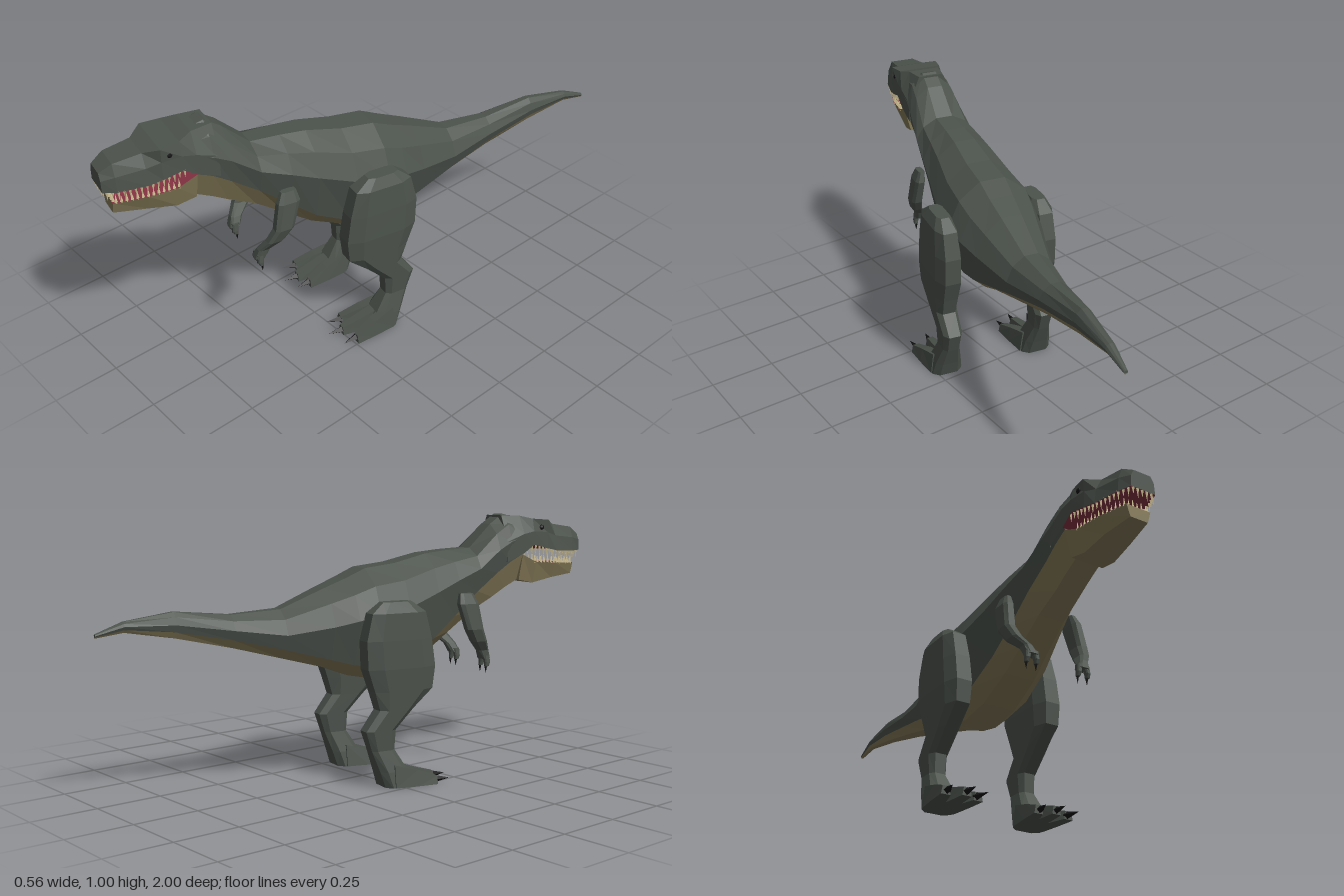
import * as THREE from 'three';

const mat = (color, side = THREE.FrontSide) =>
  new THREE.MeshStandardMaterial({ color, flatShading: true, roughness: 0.9, side });
const hide = mat(0x4c524c, THREE.DoubleSide);
const tan = mat(0x857a58, THREE.DoubleSide);
const flesh = mat(0x8a3444, THREE.DoubleSide);
const ivory = mat(0xe0cfa0);
const black = mat(0x141414);

// Skins a list of equal-length point rings; caps fill the first and last ring.
function loft(rings, { closed = true, caps = closed } = {}) {
  const n = rings[0].length, index = [];
  for (let i = 0; i < rings.length - 1; i++) {
    for (let j = 0; j < (closed ? n : n - 1); j++) {
      const k = (j + 1) % n;
      const a = i * n + j, b = i * n + k, c = a + n, d = b + n;
      index.push(a, b, d, a, d, c);
    }
  }
  if (caps) {
    const last = (rings.length - 1) * n;
    for (let j = 1; j < n - 1; j++) index.push(0, j + 1, j, last, last + j, last + j + 1);
  }
  const g = new THREE.BufferGeometry();
  g.setAttribute('position', new THREE.Float32BufferAttribute(rings.flat(2), 3));
  g.setIndex(index);
  const flat = g.toNonIndexed();
  flat.computeVertexNormals();
  return flat;
}

function add(parent, name, geometry, material) {
  const mesh = new THREE.Mesh(geometry, material);
  mesh.name = name;
  parent.add(mesh);
  return mesh;
}

// Mirrors a half outline (top to bottom, +x side) over the top into an open arch.
const arch = (z, half) => [
  ...half.slice().reverse().map(([x, y]) => [-x, y, z]),
  ...half.map(([x, y]) => [x, y, z]),
];

// Limb built from horizontal chamfered slices: [y, x, z, halfX, halfZ], top to bottom.
const OCT = [[1, -.6], [1, .6], [.6, 1], [-.6, 1], [-1, .6], [-1, -.6], [-.6, -1], [.6, -1]];
const limb = (slices) => loft(slices.map(([y, x, z, hx, hz]) =>
  OCT.map(([u, v]) => [x + u * hx, y, z + v * hz])));

// Torso, neck and tail: [z, top, side y, edge y, bottom, half width, edge half width]
const BODY = [
  [.70, .985, .91, .84, .735, .098, .090],
  [.64, 1.00, .89, .81, .705, .100, .090],
  [.58, .960, .86, .77, .670, .106, .090],
  [.48, .868, .79, .70, .620, .120, .098],
  [.37, .862, .75, .61, .545, .135, .105],
  [.27, .852, .71, .53, .475, .148, .115],
  [.13, .820, .66, .46, .410, .170, .122],
  [.00, .805, .64, .44, .390, .178, .122],
  [-.08, .770, .62, .45, .405, .165, .115],
  [-.17, .735, .60, .475, .440, .140, .105],
  [-.34, .665, .575, .52, .485, .095, .078],
  [-.53, .654, .60, .565, .535, .060, .048],
  [-.74, .675, .63, .605, .582, .035, .028],
  [-.92, .650, .633, .622, .612, .020, .015],
  [-1.02, .612, .606, .602, .598, .008, .006],
];

// Skull: [z, top half, top y, cheek half, cheek y, lip half, lip y]
const SKULL = [
  [1.015, .035, .915, .048, .89, .050, .847],
  [.97, .047, .943, .064, .90, .070, .845],
  [.87, .055, .957, .080, .91, .090, .850],
  [.82, .096, .975, .093, .925, .097, .860],
  [.75, .085, .980, .098, .93, .100, .876],
  [.70, .062, .992, .100, .92, .100, .843],
  [.62, .050, .994, .098, .89, .098, .810],
];

// Lower jaw: [z, rim half, rim y, chin half, chin y]
const JAW = [
  [.985, .050, .795, .036, .750],
  [.87, .080, .800, .055, .738],
  [.77, .088, .806, .062, .720],
  [.70, .091, .838, .066, .735],
];

// Even row of teeth following one side, the front and the other side of a jaw.
function teeth(parent, name, rim, count, down) {
  const side = rim.map(([x, y, z]) => new THREE.Vector3(x * .94, y, z - .006));
  const other = side.map((p) => new THREE.Vector3(-p.x, p.y, p.z)).reverse();
  const path = new THREE.CatmullRomCurve3([...side.reverse(), ...other.reverse()], false, 'catmullrom', 0);
  const row = new THREE.Group();
  row.name = name;
  path.getSpacedPoints(count).forEach((p, i) => {
    const h = i % 2 ? .028 : .038;
    const tooth = add(row, 'tooth', new THREE.ConeGeometry(.006, h, 4), ivory);
    tooth.position.set(p.x, p.y + (down ? -1 : 1) * h * .4, p.z);
    if (down) tooth.rotation.x = Math.PI;
  });
  parent.add(row);
}

function makeHead() {
  const head = new THREE.Group();
  head.name = 'head';
  add(head, 'skull', loft(SKULL.map(([z, tx, ty, mx, my, lx, ly]) =>
    arch(z, [[tx, ty], [mx, my], [lx, ly]])), { closed: false, caps: true }), hide);
  add(head, 'lowerJaw', loft(JAW.map(([z, rx, ry, cx, cy]) =>
    [[rx, ry, z], [cx, cy, z], [-cx, cy, z], [-rx, ry, z]]), { closed: false, caps: true }), tan);
  // Mouth lining
  add(head, 'palate', loft(SKULL.slice(0, 6).map(([z, , , , , x, y]) =>
    [[x, y, z], [0, y + .012, z], [-x, y, z]]), { closed: false }), flesh);
  add(head, 'mouthFloor', loft(JAW.map(([z, x, y]) =>
    [[-x, y, z], [0, y - .008, z], [x, y, z]]), { closed: false }), flesh);
  teeth(head, 'upperTeeth', SKULL.slice(0, 5).map(([z, , , , , x, y]) => [x, y, z]), 34, true);
  teeth(head, 'lowerTeeth', JAW.slice(0, 3).map(([z, x, y]) => [x, y, z]), 30, false);
  for (const s of [1, -1]) {
    const eye = add(head, 'eye', new THREE.SphereGeometry(.011, 6, 4), black);
    eye.position.set(s * .091, .945, .79);
  }
  return head;
}

function makeLeg() {
  const leg = new THREE.Group();
  leg.name = 'leg';
  // [y, front z, back z, half width]
  const outline = [
    [.69, .11, -.01, .026], [.65, .165, -.06, .045], [.55, .19, -.085, .05],
    [.445, .205, -.08, .052], [.36, .195, -.05, .047], [.29, .115, -.028, .042],
    [.215, .04, -.085, .038], [.14, .035, -.06, .034], [.06, .085, -.03, .052], [0, .1, -.01, .06],
  ];
  add(leg, 'thighAndShank', limb(outline.map(([y, f, b, hw]) =>
    [y, .193, (f + b) / 2, hw, (f - b) / 2])), hide);
  // Three splayed toes, each with a claw
  for (const [tipX, tipZ] of [[.127, .19], [.187, .215], [.257, .19]]) {
    const baseX = .193 + (tipX - .193) * .5;
    const ring = (x, z, hw, h) =>
      [[hw, 0], [hw * .65, h], [-hw * .65, h], [-hw, 0]].map(([u, v]) => [x + u, v, z]);
    add(leg, 'toe', loft([
      ring(baseX, .02, .032, .085),
      ring((baseX + tipX) / 2, .11, .028, .06),
      ring(tipX, tipZ, .019, .032),
    ]), hide);
    const claw = add(leg, 'toeClaw', new THREE.ConeGeometry(.016, .065, 4).rotateX(Math.PI / 2), black);
    claw.position.set(tipX, .016, tipZ + .025);
    claw.rotation.y = (tipX - .193) * 3;
  }
  return leg;
}

function makeArm() {
  const arm = new THREE.Group();
  arm.name = 'arm';
  add(arm, 'armAndHand', limb([
    [.70, .140, .395, .012, .028], [.66, .148, .40, .020, .042], [.56, .155, .425, .022, .036],
    [.51, .143, .455, .020, .032], [.47, .118, .49, .017, .023], [.435, .108, .505, .024, .020],
  ]), hide);
  // Fingers ending in claws
  for (const s of [-1, 1]) {
    const x = .108 + s * .014;
    add(arm, 'finger', limb([
      [.45, x, .505, .011, .013], [.42, x + s * .005, .508, .009, .011], [.405, x + s * .006, .505, .007, .008],
    ]), hide);
    const claw = add(arm, 'fingerClaw', new THREE.ConeGeometry(.007, .03, 4).rotateX(Math.PI), black);
    claw.position.set(x + s * .006, .393, .502);
  }
  return arm;
}

export function createModel() {
  const model = new THREE.Group();
  model.name = 'dinosaur';
  const animal = new THREE.Group();
  animal.name = 'animal';
  model.add(animal);

  add(animal, 'back', loft(BODY.map(([z, top, side, edge, , w, ew]) => arch(z, [
    [w * .28, top], [w * .75, top + (side - top) * .38], [w, side], [ew, edge],
  ])), { closed: false, caps: true }), hide);
  add(animal, 'belly', loft(BODY.map(([z, , , edge, bot, , ew]) =>
    [[ew, edge, z], [ew * .55, bot, z], [-ew * .55, bot, z], [-ew, edge, z]]),
  { closed: false, caps: true }), tan);
  animal.add(makeHead());

  // Mirrored limbs
  for (const s of [1, -1]) {
    for (const part of [makeLeg(), makeArm()]) {
      part.name = (s > 0 ? 'left ' : 'right ') + part.name;
      part.scale.x = s;
      animal.add(part);
    }
  }

  // The animal stands turned a little to its right
  animal.rotation.y = -0.21;
  animal.position.x = 0.022;
  return model;
}
